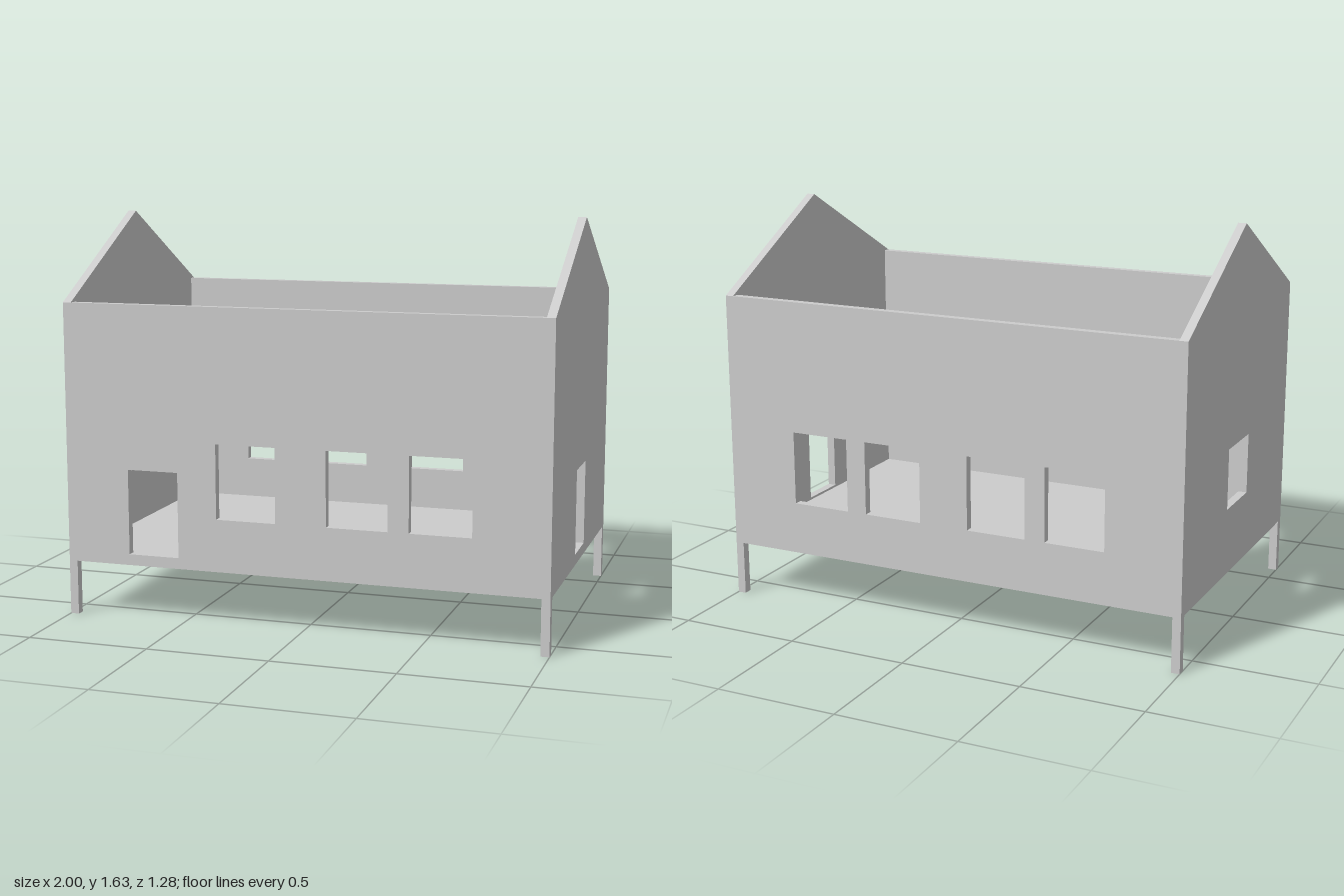
import * as THREE from 'three';

const W = 1, D = 0.64;              // half width and half depth
const T = 0.035;                    // wall thickness
const BASE = 0.225, EAVE = 1.29, RIDGE = 1.63;

const material = new THREE.MeshStandardMaterial({ color: 0xcccccc, flatShading: true });

function addMesh(parent, name, geometry) {
  const mesh = new THREE.Mesh(geometry, material);
  mesh.name = name;
  parent.add(mesh);
  return mesh;
}

// Upright panel from an outline, with rectangular openings [u0, u1, v0, v1]
function panel(outline, openings) {
  const shape = new THREE.Shape(outline.map(([u, v]) => new THREE.Vector2(u, v)));
  for (const [u0, u1, v0, v1] of openings) {
    shape.holes.push(new THREE.Path([
      new THREE.Vector2(u0, v0), new THREE.Vector2(u0, v1),
      new THREE.Vector2(u1, v1), new THREE.Vector2(u1, v0),
    ]));
  }
  return new THREE.ExtrudeGeometry(shape, { depth: T, bevelEnabled: false });
}

export function createModel() {
  const house = new THREE.Group();
  house.name = 'house';

  // Long walls between the gables
  const L = W - T;
  const longOutline = [[-L, BASE], [L, BASE], [L, EAVE], [-L, EAVE]];
  const windows = [[-0.35, -0.1], [0.11, 0.36], [0.445, 0.695]].map(([a, b]) => [a, b, 0.44, 0.745]);
  const frontDoor = [-0.73, -0.515, 0.27, 0.62];
  const backWindow = [-0.685, -0.435, 0.44, 0.745];
  addMesh(house, 'frontWall', panel(longOutline, [frontDoor, ...windows]).translate(0, 0, D - T));
  addMesh(house, 'backWall', panel(longOutline, [backWindow, ...windows]).translate(0, 0, -D));

  // Gable walls rising to the ridge
  const gableOutline = [[-D, BASE], [D, BASE], [D, EAVE], [0, RIDGE], [-D, EAVE]];
  const sideDoor = [-0.105, 0.105, 0.27, 0.62];
  const sideWindow = [-0.125, 0.125, 0.5, 0.75];
  addMesh(house, 'doorGable', panel(gableOutline, [sideDoor]).rotateY(-Math.PI / 2).translate(W, 0, 0));
  addMesh(house, 'windowGable', panel(gableOutline, [sideWindow]).rotateY(-Math.PI / 2).translate(-W + T, 0, 0));

  // Floor slab inside the walls
  addMesh(house, 'floor', new THREE.BoxGeometry(2 * L, T, 2 * (D - T))).position.y = BASE + T / 2;

  // Corner stilts
  for (const sx of [-1, 1]) {
    for (const sz of [-1, 1]) {
      addMesh(house, 'stilt', new THREE.BoxGeometry(T, BASE, T))
        .position.set(sx * (W - T / 2), BASE / 2, sz * (D - T / 2));
    }
  }
  return house;
}
